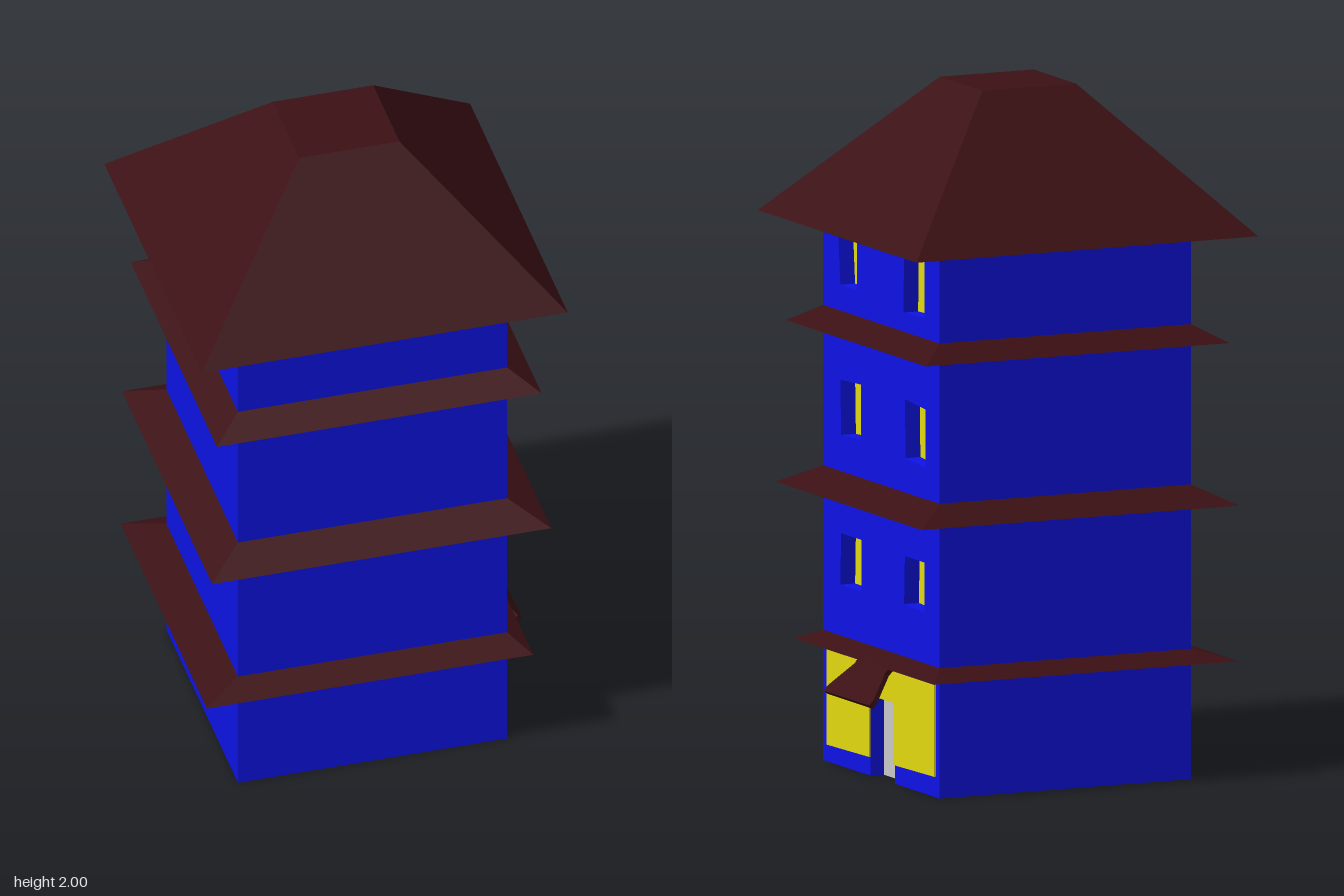
import * as THREE from 'three';

const paint = (color, side = THREE.FrontSide) =>
  new THREE.MeshStandardMaterial({ color, side, flatShading: true });

// Outline drawn on the entrance wall: [z, y] points become a shape with x = -z
const outline = (pts) => new THREE.Shape(pts.map(([z, y]) => new THREE.Vector2(-z, y)));

// Plate standing on the entrance side, growing from x towards +x
const plate = (shape, x, depth) =>
  new THREE.ExtrudeGeometry(shape, { depth, bevelEnabled: false }).rotateY(Math.PI / 2).translate(x, 0, 0);

// Open sloping skirt between two rectangles { x: [min, max], z: [min, max], y }
function skirt(low, high, capped = false) {
  const ring = ({ x, z, y }) => [[x[0], y, z[1]], [x[1], y, z[1]], [x[1], y, z[0]], [x[0], y, z[0]]];
  const a = ring(low), b = ring(high), pos = [];
  const quad = (p, q, r, s) => pos.push(...p, ...q, ...r, ...p, ...r, ...s);
  for (let i = 0; i < 4; i++) {
    const j = (i + 1) % 4;
    quad(a[i], a[j], b[j], b[i]);
  }
  if (capped) quad(...b);
  const geo = new THREE.BufferGeometry();
  geo.setAttribute('position', new THREE.Float32BufferAttribute(pos, 3));
  geo.computeVertexNormals();
  return geo;
}

export function createModel() {
  const model = new THREE.Group();
  const blue = paint(0x0e13e6);
  const yellow = paint(0xe5da10);
  const grey = paint(0xcccccc);
  const brown = paint(0x3c1014, THREE.DoubleSide);
  const add = (name, geo, mat) => {
    const mesh = new THREE.Mesh(geo, mat);
    mesh.name = name;
    model.add(mesh);
  };

  const W = 0.4, D = 0.383, H = 1.72, recess = 0.05;

  // Tower body, set back on the entrance side
  add('towerBody', new THREE.BoxGeometry(2 * W - recess, H, 2 * D).translate(-recess / 2, H / 2, 0), blue);

  // Window openings, hand-cut and slightly irregular
  const windows = [
    [[0.265, 0.675], [0.13, 0.675], [0.13, 0.525], [0.27, 0.525]],
    [[-0.155, 0.67], [-0.283, 0.67], [-0.285, 0.525], [-0.15, 0.53]],
    [[0.27, 1.12], [0.135, 1.125], [0.135, 0.965], [0.265, 0.96]],
    [[-0.155, 1.125], [-0.29, 1.115], [-0.29, 0.945], [-0.16, 0.955]],
    [[0.285, 1.555], [0.16, 1.55], [0.16, 1.395], [0.27, 1.395]],
    [[-0.15, 1.55], [-0.283, 1.55], [-0.283, 1.38], [-0.145, 1.375]],
  ];

  // Entrance wall with window holes and a doorway
  const doorL = 0.07, doorR = -0.09, doorTop = 0.235;
  const wall = outline([
    [D, 0], [doorL, 0], [doorL, doorTop], [doorR, doorTop], [doorR, 0], [-D, 0], [-D, H], [D, H],
  ]);
  wall.holes = windows.map(outline);
  add('entranceWall', plate(wall, W - recess, recess), blue);

  // Recessed glass and door
  windows.forEach((w) => add('windowPane', plate(outline(w), W - recess, 0.003), yellow));
  const door = outline([[doorL, 0], [doorR, 0], [doorR, doorTop], [doorL, doorTop]]);
  add('door', plate(door, W - recess, 0.008), grey);

  // Shop window wrapping around the doorway
  const shop = outline([
    [0.35, 0.05], [doorL, 0.055], [doorL, doorTop], [doorR, doorTop], [doorR, 0.055],
    [-0.36, 0.06], [-0.36, 0.345], [-0.11, 0.335], [0.11, 0.33], [0.35, 0.35],
  ]);
  add('shopWindow', plate(shop, W, 0.006), yellow);

  // Flared awning sloping out over the door
  const awning = outline([
    [0.11, 0], [0.1, -0.05], [0.155, -0.14], [0.155, -0.16], [-0.145, -0.16], [-0.145, -0.14], [-0.1, -0.05], [-0.105, 0],
  ]);
  const awningGeo = new THREE.ExtrudeGeometry(awning, { depth: 0.015, bevelEnabled: false })
    .rotateX(-0.715).rotateY(Math.PI / 2).translate(0.392, 0.353, 0);
  add('awning', awningGeo, brown);

  // Thin eaves around each floor: [rim y, wall y, x range, z range]
  const eaves = [
    [0.345, 0.378, [-0.515, 0.455], [-0.46, 0.465]],
    [0.8, 0.855, [-0.505, 0.503], [-0.48, 0.485]],
    [1.27, 1.32, [-0.485, 0.48], [-0.46, 0.465]],
  ];
  for (const [y, top, x, z] of eaves) {
    add('eave', skirt({ x, z, y }, { x: [-W, W], z: [-D, D], y: top }), brown);
  }

  // Hollow main roof with a flat top
  add('roof', skirt(
    { x: [-0.545, 0.542], z: [-0.525, 0.52], y: 1.585 },
    { x: [-0.15, 0.148], z: [-0.143, 0.138], y: 2 }, true), brown);

  return model;
}
